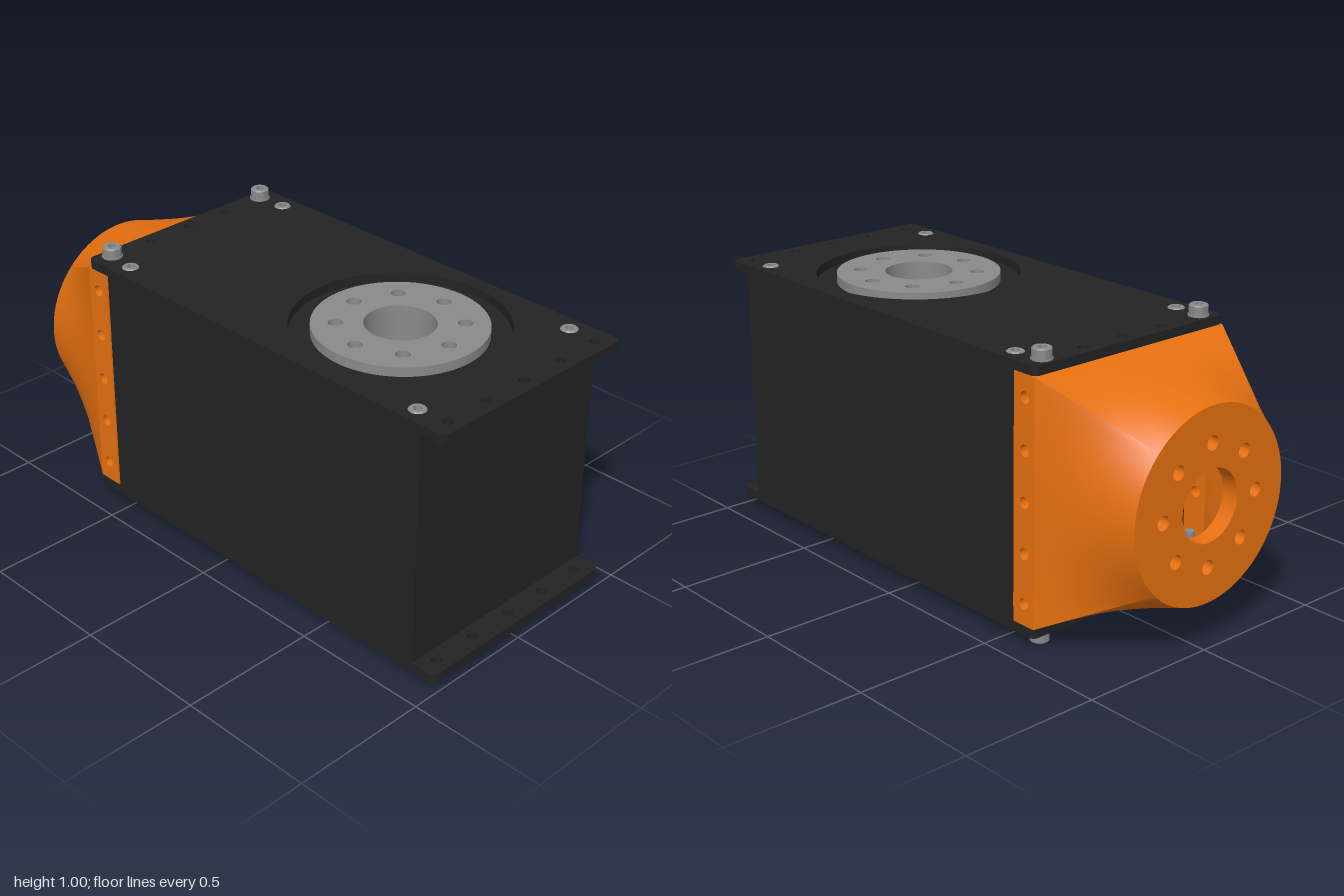
import * as THREE from 'three';
import { toCreasedNormals } from 'three/addons/utils/BufferGeometryUtils.js';

const mat = (name, color, side = THREE.FrontSide) => {
  const m = new THREE.MeshStandardMaterial({ color, side });
  m.name = name;
  return m;
};
const black = mat('black casing', 0x232323);
const grey = mat('grey metal', 0x8a8a8a);
const orange = mat('orange adapter', 0xe67010, THREE.DoubleSide);

const ROW = [-0.35, -0.175, 0, 0.175, 0.35];

function add(group, name, geo, material, x = 0, y = 0, z = 0) {
  const m = new THREE.Mesh(geo, material);
  m.name = name;
  m.position.set(x, y, z);
  group.add(m);
  return m;
}

function disc(r, x = 0, y = 0, Type = THREE.Shape) {
  const s = new Type();
  s.absarc(x, y, r, 0, Math.PI * 2, false);
  return s;
}
const hole = (x, y, r) => disc(r, x, y, THREE.Path);
const boltCircle = (n, R, r, cx = 0, cy = 0) => Array.from({ length: n }, (_, i) => {
  const a = (i / n) * Math.PI * 2;
  return hole(cx + R * Math.cos(a), cy + R * Math.sin(a), r);
});

// Rectangle from (x0,y0) to (x1,y1) with rounded corners
function rect(x0, y0, x1, y1, r = 0.001) {
  const s = new THREE.Shape(), P = Math.PI;
  s.absarc(x1 - r, y0 + r, r, -P / 2, 0);
  s.absarc(x1 - r, y1 - r, r, 0, P / 2);
  s.absarc(x0 + r, y1 - r, r, P / 2, P);
  s.absarc(x0 + r, y0 + r, r, P, 1.5 * P);
  return s;
}

function extrude(shape, holes, depth, curveSegments = 20) {
  shape.holes.push(...holes);
  return new THREE.ExtrudeGeometry(shape, { depth, bevelEnabled: false, curveSegments });
}
// Shape drawn in x,z; its top lies at y = 0 and it reaches down by depth
const slab = (shape, holes, depth, seg) => extrude(shape, holes, depth, seg).rotateX(Math.PI / 2);

// Socket head screw, top face at y = top
function screw(group, name, x, z, top, height, r, shaft) {
  const g = new THREE.Group();
  g.name = name;
  g.position.set(x, top, z);
  const hex = new THREE.Path();
  for (let i = 0; i < 6; i++) {
    const a = (i * Math.PI) / 3;
    hex[i ? 'lineTo' : 'moveTo'](0.016 * Math.cos(a), 0.016 * Math.sin(a));
  }
  hex.closePath();
  const c = 0.004, socket = height * 0.7;
  add(g, 'screwHeadRim', slab(disc(r - c), [hex], socket), grey);
  const side = new THREE.LatheGeometry([[0, -height], [r, -height], [r, -c], [r - c, 0]]
    .map(p => new THREE.Vector2(...p)), 28);
  add(g, 'screwHeadSide', toCreasedNormals(side, 0.6), grey);
  add(g, 'screwHeadBase', new THREE.CylinderGeometry(r - c, r - c, height - socket, 24), grey, 0, -(height + socket) / 2, 0);
  if (shaft) add(g, 'screwShaft', new THREE.CylinderGeometry(0.017, 0.017, shaft, 20), grey, 0, -height - shaft / 2, 0);
  group.add(g);
}

// Cover plate with its screws; y = 0.96 is the outer face
function cover(withOpening) {
  const g = new THREE.Group();
  g.name = withOpening ? 'topCover' : 'bottomCover';
  const sunk = [-0.36, 0.36].flatMap(x => [-0.49, 0.84].map(z => [x, z]));
  const holes = [
    ...ROW.map(x => hole(x, 0.95, 0.018)),
    ...ROW.map(x => hole(x, -0.6, 0.018)),
    ...sunk.map(([x, z]) => hole(x, z, 0.029)),
  ];
  if (withOpening) holes.push(hole(0, 0.435, 0.365));
  add(g, 'coverPlate', slab(rect(-0.42, -0.645, 0.42, 1, 0.022), holes, 0.033, 32), black, 0, 0.96, 0);
  for (const [x, z] of sunk) screw(g, 'sunkScrew', x, z, 0.964, 0.034, 0.03, 0);
  for (const x of [-0.35, 0.35]) {
    add(g, 'washer', new THREE.CylinderGeometry(0.036, 0.036, 0.006, 28), grey, x, 0.962, -0.6);
    screw(g, 'capScrew', x, -0.6, 1, 0.036, 0.033, 0.15);
  }
  return g;
}

// Ruled surface from a rectangle at z0 to a circle at z1
function squareToRound(hx, hy, r, z0, z1) {
  const N = 96, steps = 4, pos = [], idx = [];
  for (let j = 0; j <= steps; j++) {
    const t = j / steps;
    for (let i = 0; i <= N; i++) {
      const a = (i / N) * Math.PI * 2, c = Math.cos(a), s = Math.sin(a);
      const k = 1 / Math.max(Math.abs(c), Math.abs(s));
      pos.push(c * (k * hx * (1 - t) + r * t), s * (k * hy * (1 - t) + r * t), z0 + (z1 - z0) * t);
      if (j < steps && i < N) {
        const p = j * (N + 1) + i, q = p + N + 1;
        idx.push(p, q, p + 1, p + 1, q, q + 1);
      }
    }
  }
  const geo = new THREE.BufferGeometry();
  geo.setAttribute('position', new THREE.Float32BufferAttribute(pos, 3));
  geo.setIndex(idx);
  return toCreasedNormals(geo, 0.5);
}

function adapter() {
  const g = new THREE.Group();
  g.name = 'adapter';
  g.position.y = 0.5;
  // Four drilled flange walls
  for (let k = 0; k < 4; k++) {
    const sideWall = k % 2, half = sideWall ? 0.375 : 0.42, out = sideWall ? 0.42 : 0.425;
    const geo = slab(rect(-half, -0.645, half, -0.55), ROW.map(x => hole(x, -0.6, 0.02)), 0.05);
    add(g, 'flangeWall', geo.translate(0, out, 0).rotateZ((k * Math.PI) / 2), orange);
  }
  // Hollow transition to the round end
  add(g, 'transitionOutside', squareToRound(0.42, 0.425, 0.335, -0.645, -1), orange);
  add(g, 'transitionInside', squareToRound(0.37, 0.375, 0.29, -0.645, -0.95), orange);
  // Round mounting face
  add(g, 'mountingFace', extrude(disc(0.335), [hole(0, 0, 0.125), ...boltCircle(8, 0.21, 0.025)], 0.06, 48), orange, 0, 0, -1);
  return g;
}

export function createModel() {
  const model = new THREE.Group();
  model.name = 'actuator';

  // Casing, with a blind bore under the output disc
  add(model, 'casingLower', new THREE.BoxGeometry(0.836, 0.628, 1.45), black, 0, 0.386, 0.18);
  add(model, 'casingUpper', slab(rect(-0.418, -0.545, 0.418, 0.905), [hole(0, 0.435, 0.13)], 0.228, 40), black, 0, 0.928, 0);
  add(model, 'boreFloorBoss', new THREE.CylinderGeometry(0.065, 0.065, 0.02, 32), black, 0, 0.71, 0.435);

  // Covers above and below
  model.add(cover(true));
  const bottom = cover(false);
  bottom.rotation.z = Math.PI;
  bottom.position.y = 1;
  model.add(bottom);

  // Output disc with blind bolt holes and a bore sleeve
  const output = new THREE.Group();
  output.name = 'outputDisc';
  output.position.z = 0.435;
  add(output, 'discFace', slab(disc(0.293), [hole(0, 0, 0.12), ...boltCircle(8, 0.21, 0.025)], 0.024, 48), grey, 0, 0.962, 0);
  add(output, 'discBase', slab(disc(0.293), [hole(0, 0, 0.12)], 0.01, 48), grey, 0, 0.938, 0);
  add(output, 'boreSleeve', slab(disc(0.13), [hole(0, 0, 0.12)], 0.23, 48), grey, 0, 0.93, 0);
  model.add(output);

  model.add(adapter());
  return model;
}
